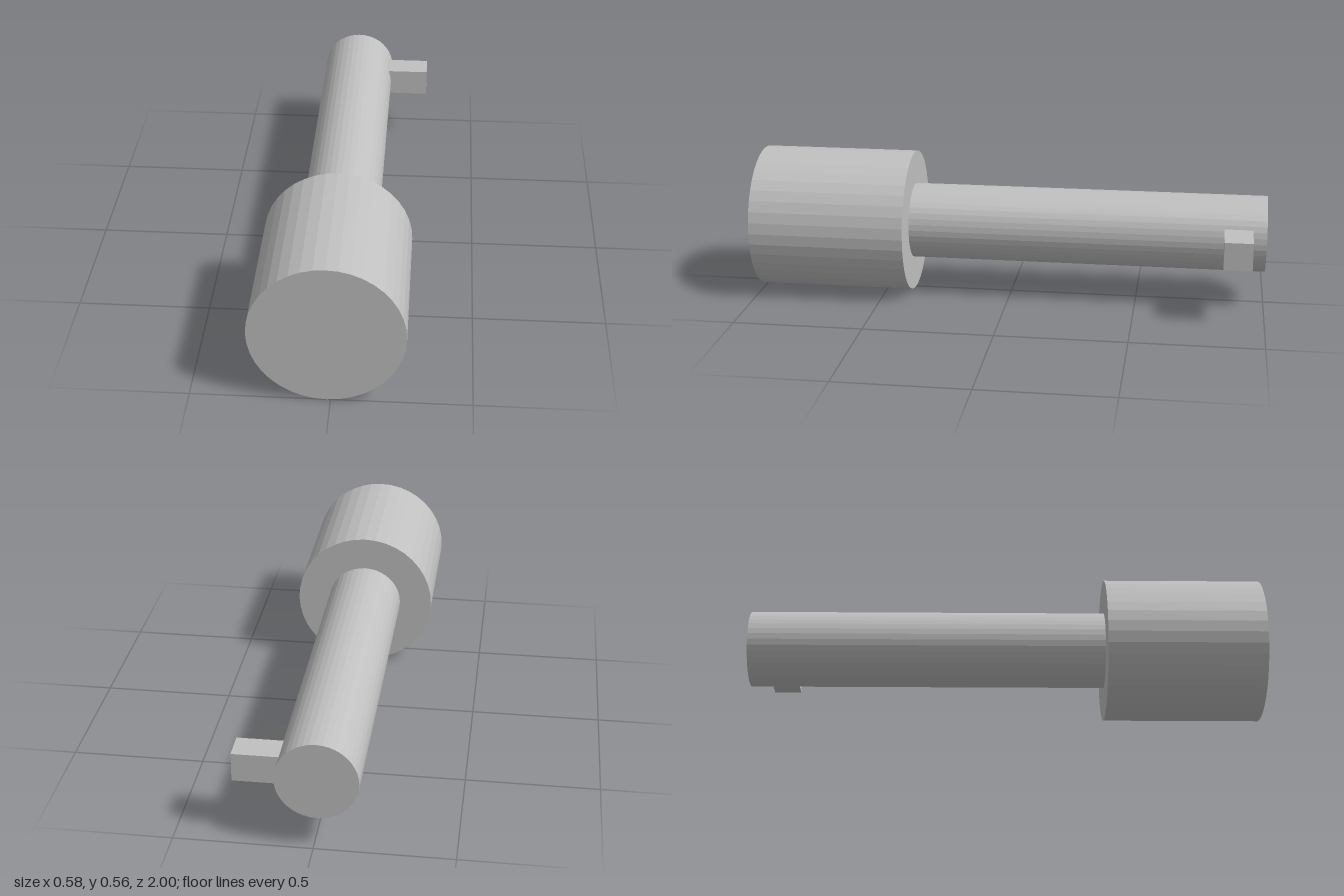
import * as THREE from 'three';

export function createModel() {
  const model = new THREE.Group();
  const grey = new THREE.MeshStandardMaterial({ color: 0xc0c0c0, flatShading: true });
  grey.name = 'plain grey';

  const AXIS_X = -0.014, AXIS_Y = 0.279, SIDES = 40;

  function add(name, geometry, x, y, z) {
    const mesh = new THREE.Mesh(geometry, grey);
    mesh.name = name;
    mesh.position.set(x, y, z);
    model.add(mesh);
  }

  // Cylinder lying along z between two depths
  function rod(name, radius, zBack, zFront) {
    const geometry = new THREE.CylinderGeometry(radius, radius, zFront - zBack, SIDES);
    geometry.rotateX(Math.PI / 2);
    add(name, geometry, AXIS_X, AXIS_Y, (zBack + zFront) / 2);
  }

  // Wide head at the front, slim shaft running to the back
  rod('head', 0.278, 0.39, 1);
  rod('shaft', 0.148, -1, 0.39);

  // Square peg standing out of the shaft's left side near the back end
  add('peg', new THREE.BoxGeometry(0.19, 0.108, 0.108), 0.196, 0.279, -0.892);

  return model;
}
